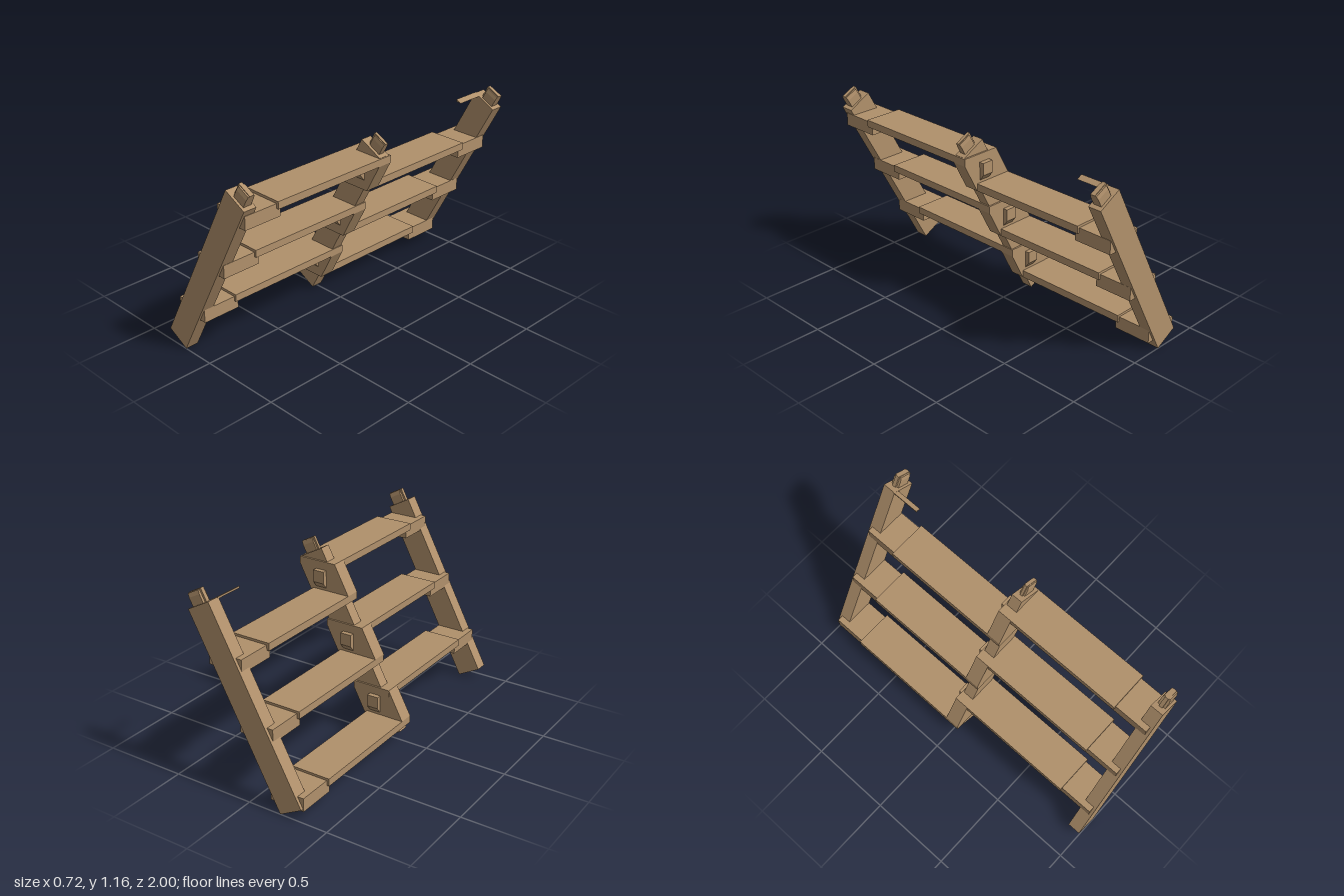
import * as THREE from 'three';

// Alternating-tread ladder stair: three leaning stringers, staggered treads, hooks on top.
export function createModel() {
  const root = new THREE.Group();
  root.name = 'alternatingStair';
  const wood = new THREE.MeshStandardMaterial({ color: 0xb0906b });
  wood.name = 'wood';

  const add = (name, geometry, parent = root) => {
    const mesh = new THREE.Mesh(geometry, wood);
    mesh.name = name;
    parent.add(mesh);
    return mesh;
  };
  const extrude = (points, depth) => new THREE.ExtrudeGeometry(
    new THREE.Shape(points.map(([x, y]) => new THREE.Vector2(x, y))),
    { depth, bevelEnabled: false });
  // Side outline in x/y, running from z0 to z1
  const slab = (name, points, z0, z1) =>
    add(name, extrude(points, z1 - z0).translate(0, 0, z0));
  const box = (name, x0, x1, y0, y1, z0, z1) =>
    add(name, new THREE.BoxGeometry(x1 - x0, y1 - y0, z1 - z0)
      .translate((x0 + x1) / 2, (y0 + y1) / 2, (z0 + z1) / 2));

  // Lean direction of the stringers
  const up = new THREE.Vector3(0.55, 1.035, 0).normalize();
  const across = new THREE.Vector3(up.y, -up.x, 0);

  // Stringer with its top hook; cut shortens the upper end
  function stringer(name, z, half, cut, hookHalf) {
    const dx = up.x * cut, dy = up.y * cut;
    slab(name, [[-0.341, 0.076], [-0.205, 0.003], [0.345 - dx, 1.04 - dy], [0.209 - dx, 1.113 - dy]],
      z - half, z + half);

    const hook = new THREE.Group();
    hook.name = name + 'Hook';
    hook.matrixAutoUpdate = true;
    const basis = new THREE.Matrix4().makeBasis(new THREE.Vector3(0, 0, 1), up, across.clone().negate());
    hook.quaternion.setFromRotationMatrix(basis);
    hook.position.set(0.277 - dx, 1.0765 - dy, z).addScaledVector(across, 0.007);
    const h = hookHalf, c = h * 0.45;
    // Two cheeks with chamfered tops around a slimmer core
    const cheek = [[c, -0.01], [h, -0.01], [h, 0.05], [h * 0.8, 0.073], [c, 0.073]];
    add('hookCheekFront', extrude(cheek, 0.08).translate(0, 0, -0.046), hook);
    add('hookCheekBack', extrude(cheek.map(([x, y]) => [-x, y]).reverse(), 0.08)
      .translate(0, 0, -0.046), hook);
    add('hookCore', new THREE.BoxGeometry(2 * c, 0.087, 0.092).translate(0, 0.0335, 0), hook);
    root.add(hook);
  }
  stringer('frontStringer', 0.96, 0.04, 0, 0.025);
  stringer('backStringer', -0.96, 0.04, 0, 0.025);
  stringer('centreStringer', 0, 0.035, 0.022, 0.018);

  // Three steps, each an upper tread at the front and a lower one at the back
  for (let i = 0; i < 3; i++) {
    const x = -0.36 + 0.185 * i, y = 0.11 + 0.346 * i;

    box('backTread', x, x + 0.24, y, y + 0.044, -0.775, -0.04);
    box('frontTread', x + 0.092, x + 0.332, y + 0.174, y + 0.217, -0.045, 0.775);

    // Sloping block joining both treads around the centre stringer
    slab('centreBlock', [
      [x, y], [x + 0.24, y], [x + 0.331, y + 0.174], [x + 0.331, y + 0.216],
      [x + 0.092, y + 0.216], [x, y + 0.044],
    ], -0.0445, 0.0445);

    // Tapered support lugs on both sides of the block
    const lug = add('supportLug', extrude([
      [-0.045, y + 0.06], [0.045, y + 0.06], [0.073, y + 0.095],
      [0.073, y + 0.167], [-0.073, y + 0.167], [-0.073, y + 0.095],
    ], 0.07));
    lug.rotation.y = -Math.PI / 2;
    lug.position.x = x + 0.22;

    // End brackets let through the outer stringers
    box('backBracket', x + 0.015, x + 0.227, y - 0.05, y + 0.03, -0.983, -0.75);
    box('frontBracket', x + 0.107, x + 0.319, y + 0.124, y + 0.202, 0.75, 0.983);
  }

  // Thin sliver reaching inward from the top of the back stringer
  slab('topStrip', [[0.207, 1.102], [0.238, 1.097], [0.206, 1.115]], -0.93, -0.752);

  return root;
}
